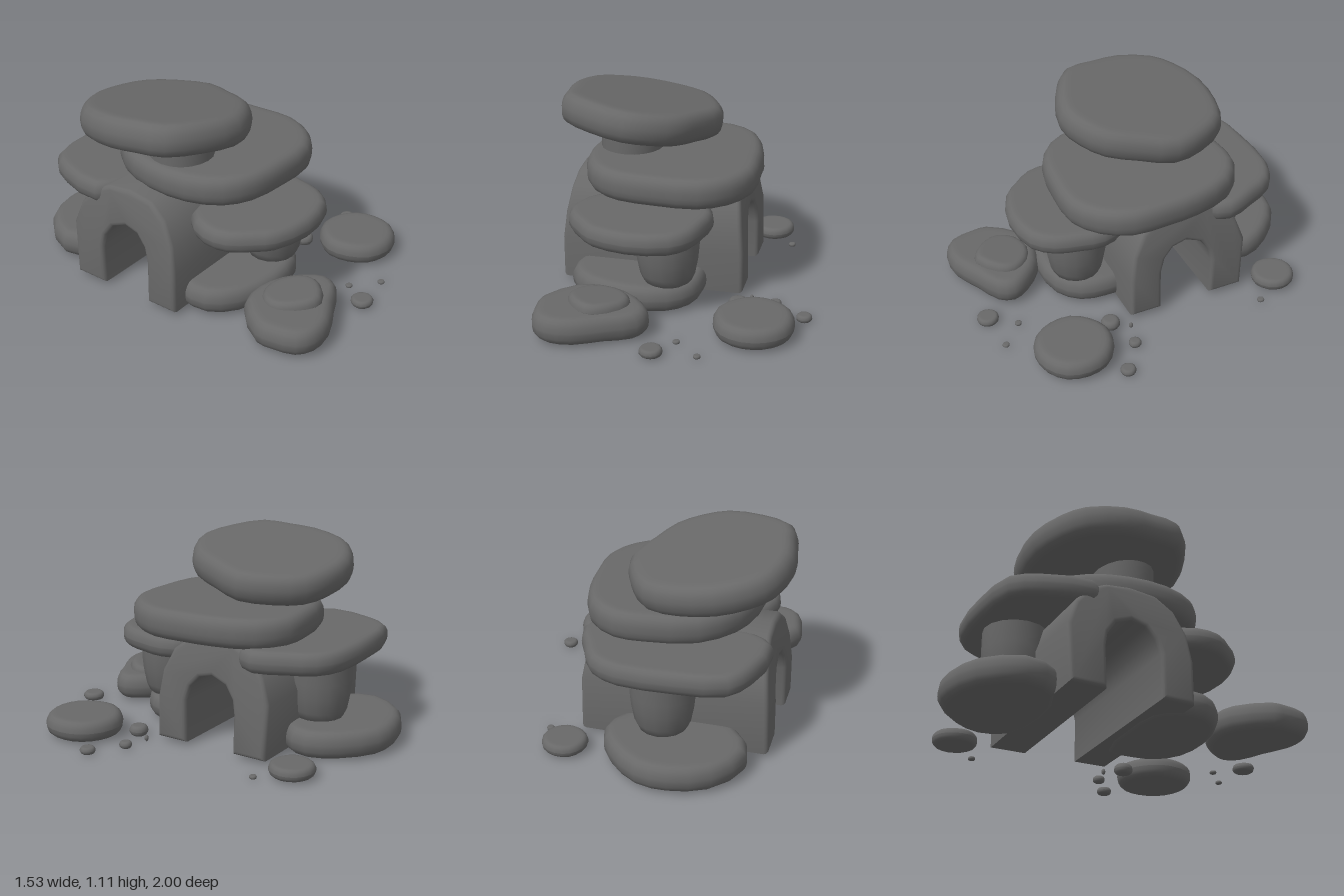
import * as THREE from 'three';
import { toCreasedNormals } from 'three/addons/utils/BufferGeometryUtils.js';

const stone = new THREE.MeshStandardMaterial({ color: 0x686868 });
stone.name = 'darkStone';

// Rounded flat rock: an [x, z] outline lofted through inset rings from y0 to y1.
function slabGeometry(outline, y0, y1, round) {
  const curve = new THREE.CatmullRomCurve3(
    outline.map(([x, z]) => new THREE.Vector3(x, 0, z)), true, 'centripetal');
  const n = outline.length * 2;
  const rim = Array.from({ length: n }, (_, i) => curve.getPoint(i / n));
  if (THREE.ShapeUtils.area(rim.map(p => new THREE.Vector2(p.x, p.z))) > 0) rim.reverse();
  const centre = rim.reduce((s, p) => s.add(p), new THREE.Vector3()).divideScalar(n);

  // Each profile step is [inset from the rim, height]
  const r = Math.min(round, (y1 - y0) / 2), inset = r * 0.8, steps = 4;
  const profile = [[inset * 1.5, y0]];
  for (let i = 0; i <= steps; i++) {
    const a = i / steps * Math.PI / 2;
    profile.push([inset * (1 - Math.sin(a)), y0 + r * (1 - Math.cos(a))]);
  }
  for (let i = steps; i >= 0; i--) {
    const a = i / steps * Math.PI / 2;
    profile.push([inset * (1 - Math.sin(a)), y1 - r * (1 - Math.cos(a))]);
  }
  profile.push([inset * 1.5, y1]);

  const pos = [], index = [];
  for (const [d, y] of profile) {
    for (const p of rim) {
      const k = Math.max(0.05, 1 - d / p.distanceTo(centre));
      pos.push(centre.x + (p.x - centre.x) * k, y, centre.z + (p.z - centre.z) * k);
    }
  }
  const last = profile.length - 1, bottom = pos.length / 3, top = bottom + 1;
  pos.push(centre.x, y0, centre.z, centre.x, y1, centre.z);
  for (let i = 0; i < n; i++) {
    const j = (i + 1) % n;
    for (let s = 0; s < last; s++) {
      const a = s * n + i, b = s * n + j;
      index.push(a, b, b + n, a, b + n, a + n);
    }
    index.push(bottom, j, i, top, last * n + i, last * n + j);
  }
  const g = new THREE.BufferGeometry();
  g.setAttribute('position', new THREE.Float32BufferAttribute(pos, 3));
  g.setIndex(index);
  g.computeVertexNormals();
  return g;
}

// Slightly irregular round outline
function blob(x, z, r, sides = 9, wobble = 0.03) {
  return Array.from({ length: sides }, (_, i) => {
    const a = i / sides * Math.PI * 2, k = r * (1 + wobble * Math.sin(i * 2.7 + x * 9));
    return [x + Math.cos(a) * k, z + Math.sin(a) * k];
  });
}

// Hollow arch: horseshoe section extruded along x, narrowing towards the roof
function archGeometry() {
  const outer = [[0.19, 0.02], [0.19, 0.26], [0.165, 0.42], [0.1, 0.55], [0, 0.625], [-0.15, 0.645],
    [-0.29, 0.63], [-0.4, 0.58], [-0.48, 0.48], [-0.53, 0.34], [-0.515, 0.02]];
  const inner = [[-0.31, 0.02], [-0.315, 0.25], [-0.3, 0.33], [-0.25, 0.4], [-0.16, 0.435],
    [-0.08, 0.415], [-0.025, 0.355], [0, 0.27], [0, 0.02]];
  const shape = new THREE.Shape([...outer, ...inner].map(([z, y]) => new THREE.Vector2(-z, y)));
  const bevel = 0.025, length = 1.06;
  const g = new THREE.ExtrudeGeometry(shape, {
    depth: length - 2 * bevel, bevelSize: bevel, bevelThickness: bevel,
    bevelOffset: -bevel, bevelSegments: 3
  });
  g.translate(0, 0, bevel - length / 2).rotateY(Math.PI / 2);
  const p = g.attributes.position;
  for (let i = 0; i < p.count; i++) {
    const lean = Math.max(0, p.getY(i) - 0.22) / 0.42;
    p.setX(i, p.getX(i) * (1 - 0.1 * Math.pow(lean, 1.4)) - 0.19);
  }
  return toCreasedNormals(g, 0.75);
}

export function createModel() {
  const model = new THREE.Group();
  model.name = 'rockShelter';
  const add = (name, geometry) => {
    const mesh = new THREE.Mesh(geometry, stone);
    mesh.name = name;
    model.add(mesh);
    return mesh;
  };
  const slab = (name, outline, y0, y1, round = 0.07) => add(name, slabGeometry(outline, y0, y1, round));

  add('archTunnel', archGeometry());

  // Tilted cap stone, modelled about its own centre
  const cx = -0.31, cz = -0.14;
  const cap = slab('capStone', [[-0.77, -0.2], [-0.71, -0.42], [-0.6, -0.53], [-0.42, -0.61], [-0.2, -0.61],
    [-0.03, -0.55], [0.08, -0.4], [0.14, -0.2], [0.07, 0], [-0.02, 0.18], [-0.15, 0.28], [-0.31, 0.33],
    [-0.53, 0.27], [-0.71, 0.15], [-0.75, -0.02]].map(([x, z]) => [x - cx, z - cz]), -0.09, 0.09, 0.08);
  cap.position.set(cx, 0.955, cz);
  cap.rotation.set(-0.09, 0, -0.13);
  slab('neckStone', blob(-0.35, -0.035, 0.178, 10, 0.01), 0.74, 0.95, 0.03);

  // Large roof slab and the lower slabs before and behind it
  slab('roofSlab', [[-0.03, -0.56], [0.14, -0.55], [0.3, -0.43], [0.38, -0.2], [0.4, 0], [0.395, 0.2],
    [0.3, 0.37], [0.14, 0.47], [-0.1, 0.475], [-0.33, 0.44], [-0.48, 0.34], [-0.57, 0.15], [-0.575, -0.1],
    [-0.5, -0.32], [-0.32, -0.5]], 0.615, 0.785);
  slab('backSlab', [[-0.7, -0.37], [-0.65, -0.64], [-0.55, -0.79], [-0.28, -0.84], [0.05, -0.83],
    [0.2, -0.75], [0.28, -0.6], [0.345, -0.42], [0.26, -0.29], [0, -0.24], [-0.35, -0.24], [-0.6, -0.28]],
  0.5, 0.63, 0.06);
  slab('frontSlab', [[-0.6, 0.3], [-0.59, 0.44], [-0.5, 0.56], [-0.42, 0.64], [-0.2, 0.705], [0.03, 0.665],
    [0.13, 0.56], [0.17, 0.42], [0.19, 0.28], [0.12, 0.14], [-0.2, 0.1], [-0.5, 0.14]], 0.425, 0.55, 0.06);

  // Stubby pillars holding the lower slabs
  const pillar = (name, x, z, top) => {
    const profile = [[0, 0.13], [0.1, 0.14], [0.135, 0.165], [0.155, 0.21], [0.172, 0.3], [0.18, 0.38],
      [0.178, top], [0, top]].map(([r, y]) => new THREE.Vector2(r, y));
    const mesh = add(name, toCreasedNormals(new THREE.LatheGeometry(profile, 16), 0.9));
    mesh.position.set(x, 0, z);
  };
  pillar('frontPillar', -0.05, 0.365, 0.46);
  pillar('backPillar', -0.15, -0.58, 0.54);

  // Ground slabs
  slab('frontBase', [[-0.61, 0.15], [-0.62, 0.32], [-0.5, 0.46], [-0.25, 0.54], [-0.02, 0.51], [0.1, 0.4],
    [0.13, 0.25], [0.1, 0.08], [-0.25, 0.02], [-0.52, 0.05]], 0.01, 0.16);
  slab('frontStep', [[-0.53, 0.52], [-0.68, 0.7], [-0.68, 0.8], [-0.645, 0.93], [-0.56, 0.99], [-0.42, 0.99],
    [-0.25, 0.91], [-0.1, 0.83], [-0.06, 0.74], [-0.11, 0.64], [-0.22, 0.54], [-0.38, 0.49]], 0.01, 0.162);
  slab('backBase', [[-0.64, -0.7], [-0.5, -0.92], [-0.28, -1], [-0.1, -0.98], [0.08, -0.83], [0.16, -0.66],
    [0.1, -0.5], [-0.2, -0.42], [-0.55, -0.5]], 0.01, 0.165);

  // Small leaning stone resting on the front step
  const topper = slab('stepStone', [[-0.17, -0.04], [-0.15, 0.04], [-0.07, 0.13], [0.02, 0.16], [0.15, 0.07],
    [0.18, -0.02], [0.12, -0.12], [0, -0.17], [-0.12, -0.13]], -0.05, 0.04, 0.045);
  topper.position.set(-0.35, 0.155, 0.72);
  topper.rotation.x = -0.09;

  // Loose boulders and pebbles: [x, z, radius, height]
  slab('sideBoulder', blob(0.48, 0.605, 0.222, 11, 0.015), 0.01, 0.13, 0.06);
  slab('backBoulder', blob(0.37, -0.71, 0.127, 9, 0.015), 0.01, 0.08, 0.035);
  const pebbles = [[0, 0.935, 0.063, 0.045], [0.72, 0.39, 0.044, 0.04], [0.34, 0.325, 0.055, 0.06],
    [0.54, 0.265, 0.036, 0.04], [0.51, -0.555, 0.021, 0.02], [0.1, 0.79, 0.02, 0.018],
    [0.24, 0.915, 0.02, 0.018], [0.4, 0.225, 0.012, 0.04]];
  pebbles.forEach(([x, z, r, h], i) => slab('pebble' + (i + 1), blob(x, z, r, 7, 0.02), 0, h, h / 2));

  return model;
}
